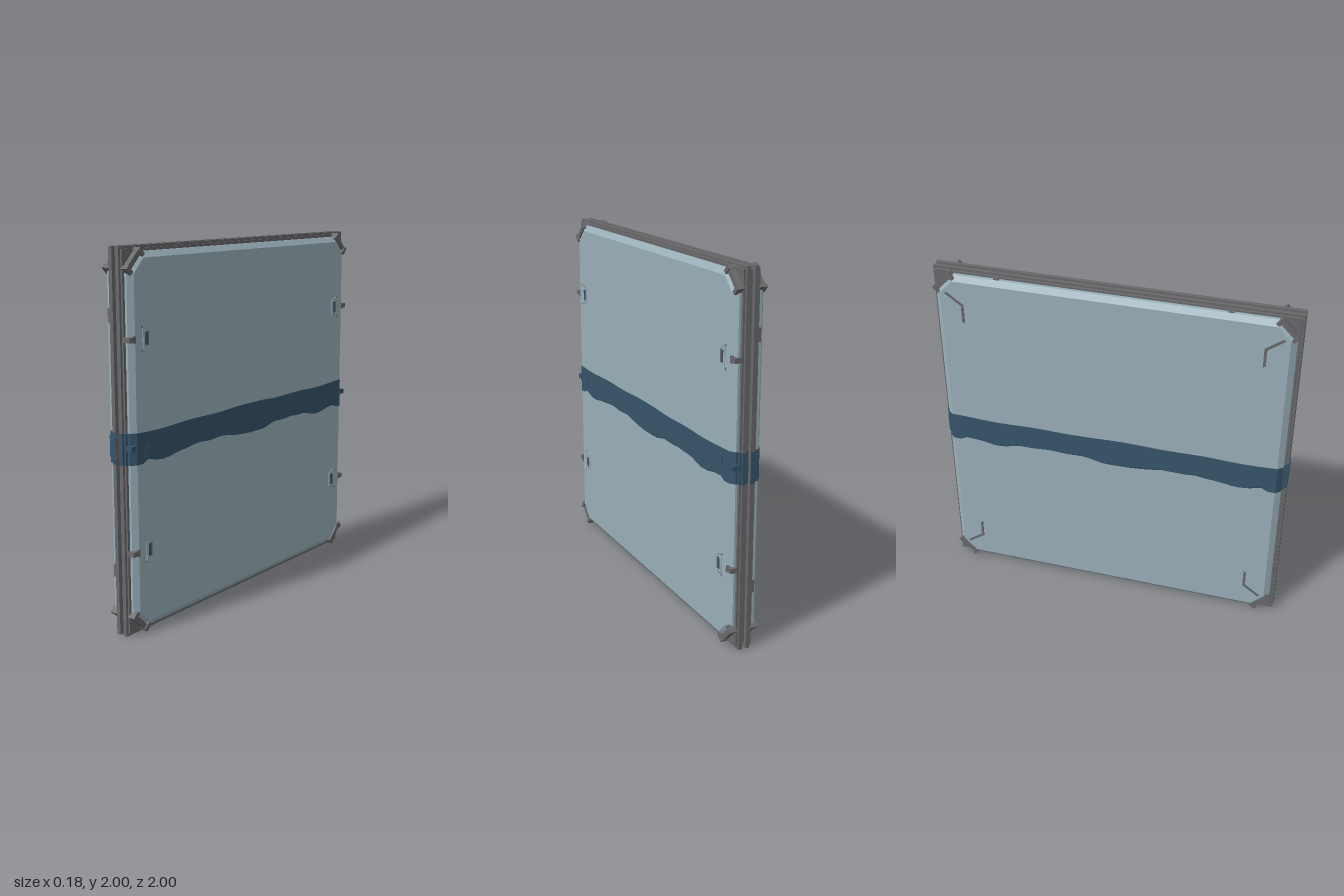
import * as THREE from 'three';

const mat = (name, color) => Object.assign(new THREE.MeshStandardMaterial({ color }), { name });

export function createModel() {
  const panelMat = mat('pale blue panel', 0x9aafb9);
  const frameMat = mat('dark grey frame', 0x69696b);
  const bandMat = mat('dark blue band', 0x36546a);
  const model = new THREE.Group();
  model.name = 'wallPanel';

  const add = (parent, name, geo, material) => {
    const m = new THREE.Mesh(geo, material);
    m.name = name;
    parent.add(m);
    return m;
  };
  const box = (parent, name, w, h, d, x, y, z, material = frameMat) => {
    const m = add(parent, name, new THREE.BoxGeometry(w, h, d), material);
    m.position.set(x, y, z);
    return m;
  };
  const shapeOf = pts => new THREE.Shape(pts.map(p => new THREE.Vector2(...p)));
  const plate = (pts, depth) => new THREE.ExtrudeGeometry(shapeOf(pts), { depth, bevelEnabled: false });

  // Layered square frame: x start, x end, half size
  [
    ['outerFlange', 0.035, 0.045, 0.985],
    ['framePlate', 0.012, 0.035, 0.998],
    ['frameCore', -0.01, 0.012, 0.975],
    ['framePlate', -0.03, -0.01, 0.998],
    ['outerFlange', -0.045, -0.03, 0.985],
  ].forEach(([name, a, b, h]) => box(model, name, b - a, 2 * h, 2 * h, (a + b) / 2, 1, 0));

  // Bevelled octagonal slab, local z pointing outward
  function slab(half, cut, from, to, bevel, bevelDepth) {
    const c = half - cut;
    const pts = [[half, -c], [half, c], [c, half], [-c, half], [-half, c], [-half, -c], [-c, -half], [c, -half]];
    const geo = new THREE.ExtrudeGeometry(shapeOf(pts), {
      depth: to - from - 2 * bevelDepth, bevelEnabled: true, bevelSegments: 1,
      bevelSize: bevel, bevelOffset: -bevel, bevelThickness: bevelDepth,
    });
    return geo.translate(0, 1, from + bevelDepth);
  }

  // Diagonal clamp at each corner with two gripping ends
  function cornerClamps(side, out) {
    for (const sx of [-1, 1]) for (const sy of [-1, 1]) {
      const clamp = new THREE.Group();
      clamp.name = 'cornerClamp';
      clamp.position.set(sx * 0.93, 1 + sy * 0.93, 0);
      clamp.rotation.z = -sx * sy * Math.PI / 4;
      side.add(clamp);
      box(clamp, 'clampBar', 0.12, 0.028, out - 0.045, 0, 0, (out + 0.035) / 2);
      for (const e of [-1, 1])
        box(clamp, 'clampEnd', 0.022, 0.045, out - 0.035, e * 0.06, -sy * 0.006, (out + 0.04) / 2);
    }
  }

  // Left (+x) face: slab, clamps, edge clips and latches
  const left = new THREE.Group();
  left.name = 'leftFace';
  left.rotation.y = Math.PI / 2;
  model.add(left);
  add(left, 'leftSlab', slab(0.97, 0.09, 0.015, 0.08, 0.03, 0.022), panelMat);
  cornerClamps(left, 0.079);
  for (const s of [-1, 1]) for (const y of [0.45, 1, 1.545]) {
    const m = y === 1 ? bandMat : frameMat;
    box(left, 'edgeClip', 0.04, 0.026, 0.04, s * 0.965, y, 0.064, m);
    box(left, 'clipHook', 0.014, 0.036, 0.02, s * 0.945, y, 0.075, m);
    // Tapered latch seat with a raised catch
    const seat = [[0.835, -0.045], [0.885, -0.06], [0.885, 0.06], [0.835, 0.045]].map(([x, v]) => [s * x, y + v]);
    const seatMesh = add(left, 'latchSeat', plate(seat, 0.004), y === 1 ? bandMat : panelMat);
    seatMesh.position.z = 0.08;
    box(left, 'latchCatch', 0.022, 0.07, 0.012, s * 0.855, y, 0.079, m);
    box(left, 'latchInsert', 0.016, 0.06, 0.004, s * 0.864, y, 0.084, bandMat);
    for (const e of [-1, 1]) {
      const arm = box(left, 'latchArm', 0.055, 0.006, 0.006, s * 0.873, y + e * 0.053, 0.081, m);
      arm.rotation.z = s * e * 0.3;
    }
  }

  // Right (-x) face: slab, clamps, small edge clips and bent corner grips
  const right = new THREE.Group();
  right.name = 'rightFace';
  right.rotation.y = -Math.PI / 2;
  model.add(right);
  add(right, 'rightSlab', slab(0.975, 0.09, 0.015, 0.088, 0.03, 0.023), panelMat);
  cornerClamps(right, 0.082);
  const grip = [[0.92, 0.87], [0.83, 0.805], [0.83, 0.71], [0.815, 0.7], [0.815, 0.812], [0.91, 0.88]];
  for (const sx of [-1, 1]) for (const sy of [-1, 1]) {
    const m = add(right, 'cornerGrip', plate(grip.map(([x, y]) => [sx * x, 1 + sy * y]), 0.004), frameMat);
    m.position.z = 0.087;
    box(right, 'horizontalClip', 0.03, 0.02, 0.025, sx * 0.63, 1 + sy * 0.972, 0.05);
    box(right, 'verticalClip', 0.02, 0.07, 0.02, sx * 0.972, 1 + sy * 0.66, 0.05);
  }
  for (const s of [-1, 1]) box(right, 'middleClip', 0.025, 0.11, 0.03, s * 0.972, 1, 0.05, bandMat);

  // Ragged painted band wrapped closely round the whole section
  const section = [
    [0.08, 0.94], [0.058, 0.97], [0.045, 0.97], [0.045, 0.985], [0.035, 0.985], [0.035, 0.998],
    [0.012, 0.998], [0.012, 0.975], [-0.01, 0.975], [-0.01, 0.998], [-0.03, 0.998], [-0.03, 0.985],
    [-0.045, 0.985], [-0.045, 0.975], [-0.065, 0.975], [-0.088, 0.945],
  ];
  const steps = 46;
  const run = (x, from, to) => Array.from({ length: steps - 1 }, (_, i) => [x, from + (to - from) * (i + 1) / steps]);
  const outline = [
    ...section,
    ...run(-0.088, 0.945, -0.945),
    ...section.map(([x, z]) => [x, -z]).reverse(),
    ...run(0.08, -0.94, 0.94),
  ].map(([x, z]) => [x * 1.03, z * 1.002]);
  const band = plate(outline, 1).rotateX(-Math.PI / 2);
  const pos = band.attributes.position;
  for (let i = 0; i < pos.count; i++) {
    const z = pos.getZ(i);
    const dip = Math.abs(Math.cos(Math.PI * (z - 0.02) / 0.7)) ** 6;
    const low = Math.abs(z) > 0.88 ? 0.912 : 0.936 - 0.027 * dip + 0.003 * Math.sin(31 * z);
    const high = 1.075 + 0.006 * Math.sin(9 * z + 1) * Math.cos(4 * z);
    pos.setY(i, pos.getY(i) > 0.5 ? high : low);
  }
  band.computeVertexNormals();
  add(model, 'paintedBand', band, bandMat);

  return model;
}
